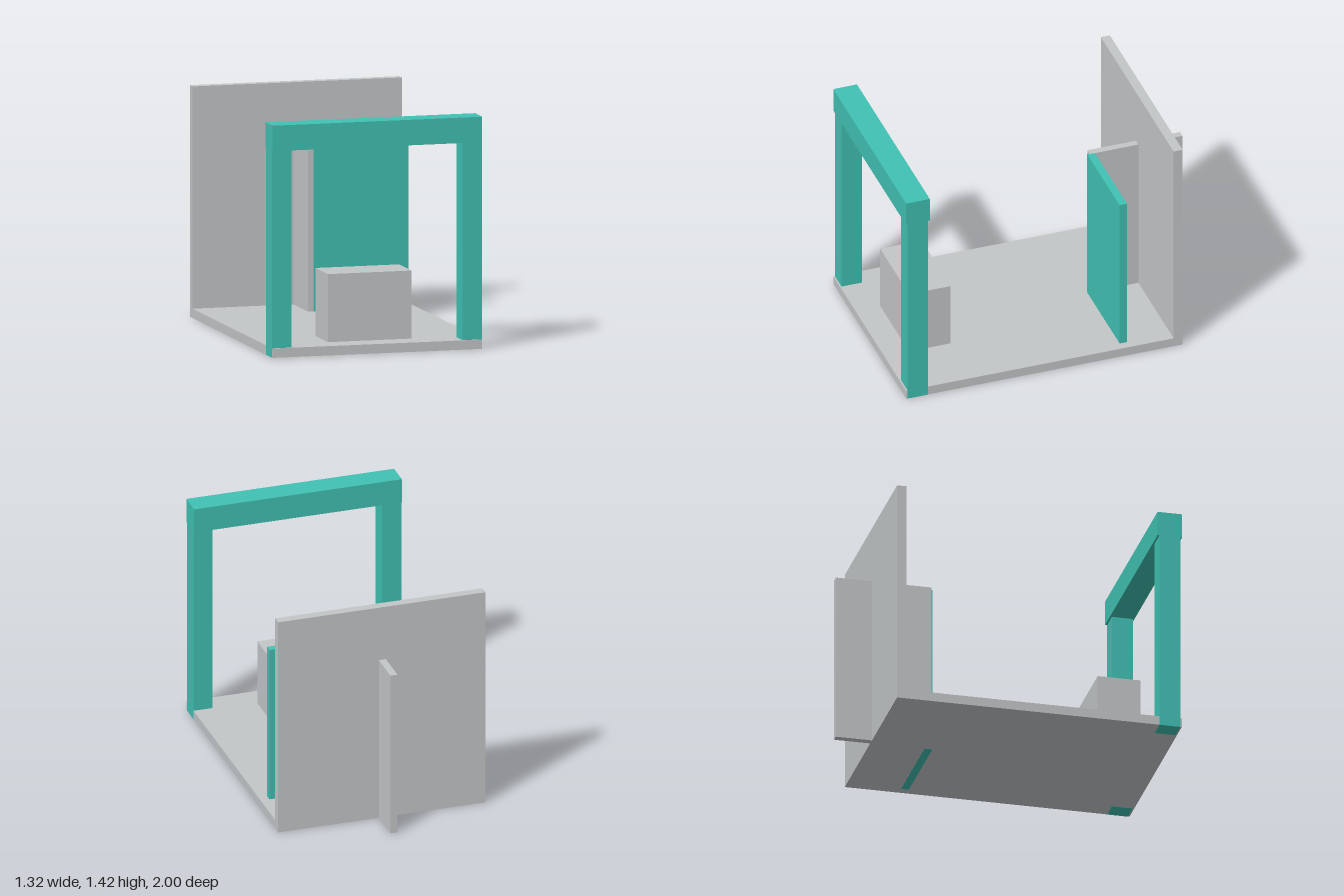
import * as THREE from 'three';

const teal = new THREE.MeshStandardMaterial({ color: 0x40c1b3 });
teal.name = 'teal';
const grey = new THREE.MeshStandardMaterial({ color: 0xc3c6c8 });
grey.name = 'light grey';

// Axis-aligned block given by its [min, max] range on each axis
function block(name, material, [x0, x1], [y0, y1], [z0, z1]) {
  const mesh = new THREE.Mesh(new THREE.BoxGeometry(x1 - x0, y1 - y0, z1 - z0), material);
  mesh.position.set((x0 + x1) / 2, (y0 + y1) / 2, (z0 + z1) / 2);
  mesh.name = name;
  return mesh;
}

export function createModel() {
  const model = new THREE.Group();
  model.name = 'room';
  const W = 0.661;
  const skin = 0.0006; // keeps flush painted faces just proud of the floor

  // Floor slab, rear wall and the partition that passes through the wall
  model.add(
    block('floor', grey, [-W, W], [0, 0.057], [-0.772, 0.999]),
    block('backWall', grey, [-W, W], [0, 1.416], [-0.775, -0.717]),
    block('partition', grey, [-0.025, 0.02], [skin, 1.063], [-1, -0.405]),
    block('counter', grey, [-0.264, 0.262], [0.03, 0.473], [0.573, 0.84])
  );

  // Door panel standing against the partition
  model.add(block('doorPanel', teal, [0.01, 0.605], [-skin, 1.063], [-0.438, -0.39]));

  // Front gateway: two posts and a slightly deeper lintel
  const gateway = new THREE.Group();
  gateway.name = 'gateway';
  for (const [name, side] of [['leftPost', 1], ['rightPost', -1]]) {
    const xs = [side * 0.54, side * (W + skin)].sort((a, b) => a - b);
    gateway.add(block(name, teal, xs, [-skin, 1.27], [0.86, 0.99]));
  }
  gateway.add(block('lintel', teal, [-W - skin, W + skin], [1.264, 1.42], [0.848, 1]));
  model.add(gateway);

  return model;
}
